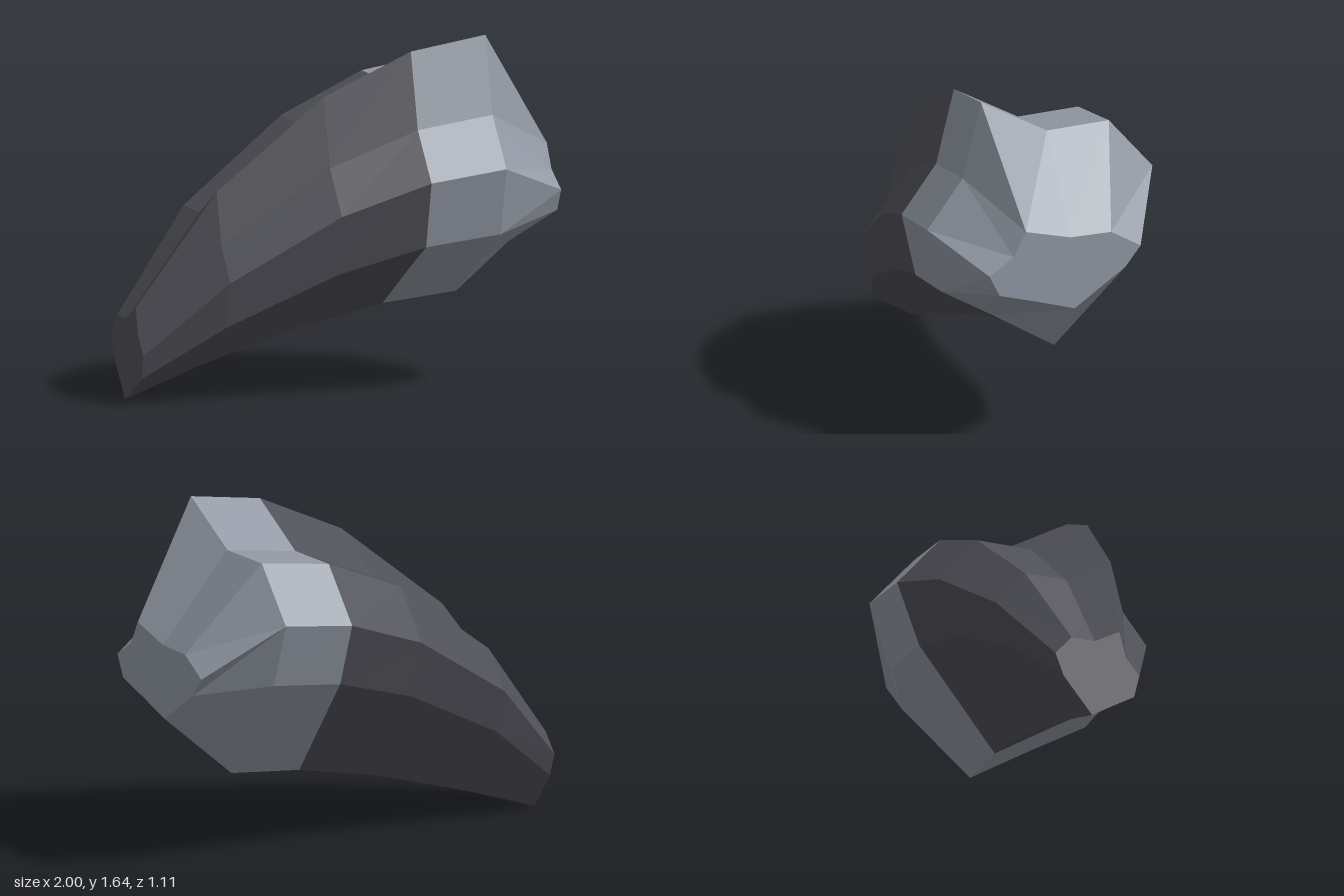
import * as THREE from 'three';

// Widest cross-section as [z, y], running from the front crest over the back and underneath
const section = [
  [0.29, 1.645], [-0.035, 1.465], [-0.34, 1.475], [-0.555, 1.225], [-0.445, 0.915],
  [-0.07, 0.41], [0.23, 0.595], [0.485, 0.745], [0.555, 1.055], [0.38, 1.285],
];
// Small end face, same order
const endSection = [
  [0.2, 1.115], [-0.02, 1.06], [-0.22, 1.06], [-0.365, 0.975], [-0.29, 0.88],
  [-0.04, 0.71], [0.14, 0.765], [0.33, 0.82], [0.38, 0.92], [0.26, 1.0],
];
// Diagonal direction of each quad in the bevel
const bevelFlips = [1, 1, 1, 0, 1, 1, 0, 0, 0, 0];

// Section scaled and lifted to a station along x
const ringAt = (x, bottom, height, width, dz = 0) => section.map(([z, y]) =>
  [x, bottom + ((y - 0.41) / 1.235) * height, z * width + dz]);

// Wall between two rings, a towards -x and b towards +x
function loft(out, a, b, flips = []) {
  for (let i = 0; i < a.length; i++) {
    const j = (i + 1) % a.length;
    if (flips[i]) out.push(a[i], b[i], a[j], b[i], b[j], a[j]);
    else out.push(a[i], b[i], b[j], a[i], b[j], a[j]);
  }
}

// Flat closing face fanned from its centre
function cap(out, ring, facesPlusX) {
  const c = [0, 1, 2].map(k => ring.reduce((s, p) => s + p[k], 0) / ring.length);
  ring.forEach((p, i) => {
    const q = ring[(i + 1) % ring.length];
    out.push(c, ...(facesPlusX ? [q, p] : [p, q]));
  });
}

function makeMesh(name, points, material) {
  const g = new THREE.BufferGeometry();
  g.setAttribute('position', new THREE.Float32BufferAttribute(points.flat(), 3));
  g.computeVertexNormals(); // unshared corners give faceted shading
  const mesh = new THREE.Mesh(g, material);
  mesh.name = name;
  return mesh;
}

export function createModel() {
  const group = new THREE.Group();
  group.name = 'taperedHorn';

  const dark = new THREE.MeshStandardMaterial({ color: 0x505058 });
  dark.name = 'charcoal';
  const light = new THREE.MeshStandardMaterial({ color: 0x9299a4 });
  light.name = 'pale grey';

  const rings = [
    ringAt(-1, 0.0, 0.44, 0.365, 0.01),
    ringAt(-0.63, 0.13, 0.84, 0.655, 0.003),
    ringAt(-0.12, 0.285, 1.105, 0.845),
    ringAt(0.295, 0.372, 1.213, 0.972),
    ringAt(0.66, 0.41, 1.235, 1),
  ];

  // Dark curved body, closed at the tip
  const body = [];
  cap(body, rings[0], false);
  for (let i = 0; i < 3; i++) loft(body, rings[i], rings[i + 1]);
  group.add(makeMesh('hornBody', body, dark));

  // Pale base band
  const band = [];
  loft(band, rings[3], rings[4]);
  group.add(makeMesh('baseBand', band, light));

  // Bevelled base end
  const end = endSection.map(([z, y]) => [1, y, z]);
  const base = [];
  loft(base, rings[4], end, bevelFlips);
  cap(base, end, true);
  group.add(makeMesh('baseEnd', base, light));

  return group;
}
